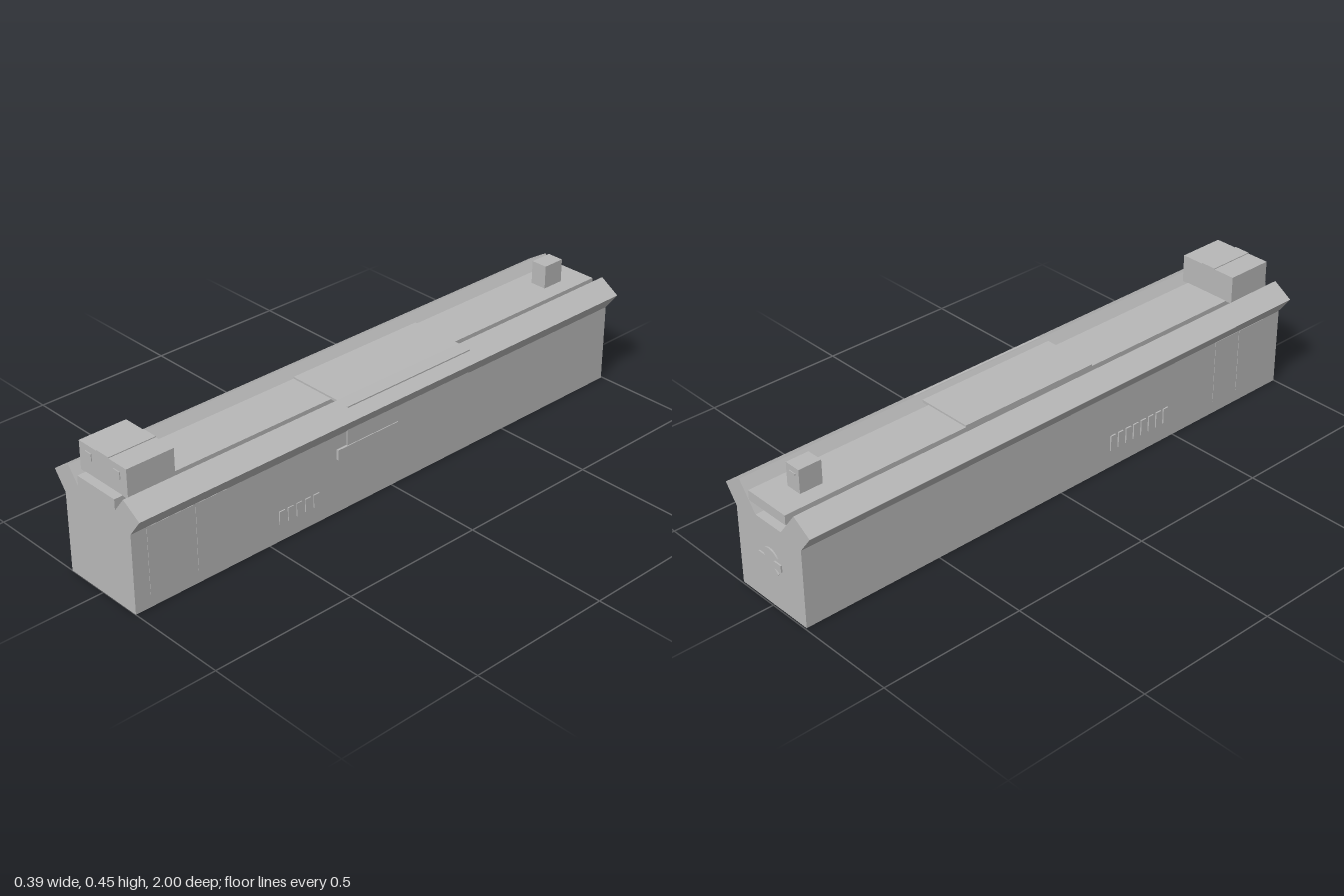
import * as THREE from 'three';

const grey = new THREE.MeshStandardMaterial({ color: 0xb8b8b8 });
grey.name = 'metal grey';

export function createModel() {
  const model = new THREE.Group();
  model.name = 'slideHousing';

  // Box given by its minimum and maximum on each axis
  function box(name, [x0, x1], [y0, y1], [z0, z1], parent = model) {
    const mesh = new THREE.Mesh(new THREE.BoxGeometry(x1 - x0, y1 - y0, z1 - z0), grey);
    mesh.position.set((x0 + x1) / 2, (y0 + y1) / 2, (z0 + z1) / 2);
    mesh.name = name;
    parent.add(mesh);
    return mesh;
  }

  // Long body: square trough with flared flanges, mirrored half profile
  const half = [[0.15, 0], [0.15, 0.27], [0.195, 0.33], [0.126, 0.373], [0.059, 0.285]];
  const outline = [...half, ...half.map(([x, y]) => [-x, y]).reverse()];
  const profile = new THREE.Shape(outline.map(([x, y]) => new THREE.Vector2(x, y)));
  const bodyGeo = new THREE.ExtrudeGeometry(profile, { depth: 1.995, bevelEnabled: false });
  bodyGeo.translate(0, 0, -0.995);
  const body = new THREE.Mesh(bodyGeo, grey);
  body.name = 'body';
  model.add(body);

  // Top slab floating in the trough, closed off at the front
  box('topSlab', [-0.085, 0.085], [0.322, 0.355], [-0.995, 1]);
  box('frontPlug', [-0.085, 0.085], [0.285, 0.322], [0.95, 1]);

  // Port cover, flange ridge and side port panels
  box('portCover', [-0.085, 0.113], [0.352, 0.361], [-0.33, 0.19]);
  box('flangeRidge', [0.15, 0.157], [0.34, 0.358], [-0.33, 0.19]);
  box('portPanel', [0.149, 0.155], [0.222, 0.278], [-0.33, 0.19]);
  box('portLatch', [0.149, 0.158], [0.188, 0.223], [-0.02, 0.23]);

  // Front block with raised centre strip and two small windows
  const block = new THREE.Group();
  block.name = 'frontBlock';
  model.add(block);
  box('blockBody', [-0.108, 0.108], [0.353, 0.449], [0.804, 0.97], block);
  box('blockStrip', [-0.028, 0.028], [0.449, 0.452], [0.804, 0.97], block);
  for (const s of [-1, 1]) {
    const x = s * 0.065;
    box('blockWindow', [x - 0.014, x + 0.014], [0.404, 0.428], [0.97, 0.973], block);
  }

  // Small rear block with a thin face plate
  box('rearBlock', [-0.03, 0.028], [0.355, 0.435], [-0.9, -0.82]);
  box('rearBlockMark', [-0.015, 0.013], [0.41, 0.416], [-0.903, -0.9]);

  // Thin front panels and rows of vents on each side
  function side(s, panels, vents) {
    const span = (t) => (s > 0 ? [0.149, 0.15 + t] : [-0.15 - t, -0.149]);
    const name = s > 0 ? 'left' : 'right';
    for (const z of panels) box(name + 'SidePanel', span(0.0015), [0.043, 0.27], z);
    for (let i = 0; i < vents.count; i++) {
      const z = vents.start + i * 0.034;
      box(name + 'Vent', span(vents.depth), vents.y, [z, z + 0.022]);
    }
  }
  side(1, [[0.777, 0.945], [0.656, 0.771]], { count: 5, start: 0.304, depth: 0.004, y: [0.06, 0.105] });
  side(-1, [[0.803, 0.917], [0.69, 0.797]], { count: 8, start: 0.212, depth: 0.005, y: [0.063, 0.118] });

  // Rear key plate: two opposed sectors joined by a short bar
  const key = new THREE.Shape();
  key.absarc(0, 0, 0.046, Math.PI * 0.2, Math.PI * 0.8, false);
  key.lineTo(-0.02, 0.012);
  key.lineTo(-0.052, 0.012);
  key.lineTo(-0.052, -0.012);
  key.lineTo(-0.02, -0.012);
  key.absarc(0, 0, 0.046, Math.PI * 1.2, Math.PI * 1.8, false);
  key.lineTo(0.02, -0.012);
  key.lineTo(0.052, -0.012);
  key.lineTo(0.052, 0.012);
  key.lineTo(0.02, 0.012);
  const keyPlate = new THREE.Mesh(
    new THREE.ExtrudeGeometry(key, { depth: 0.006, bevelEnabled: false, curveSegments: 10 }), grey);
  keyPlate.position.set(0, 0.155, -1);
  keyPlate.name = 'rearKeyPlate';
  model.add(keyPlate);

  return model;
}
